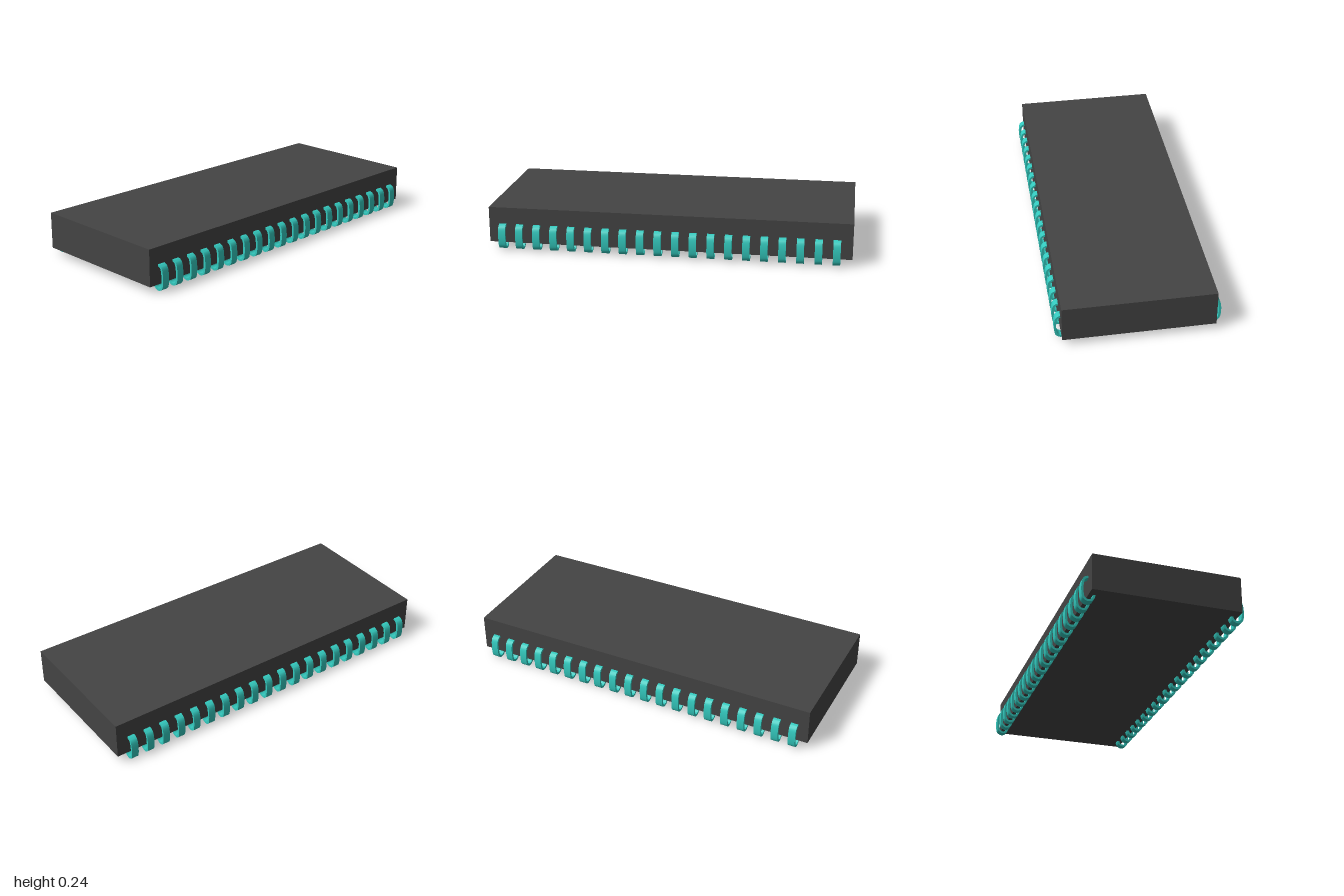
import * as THREE from 'three';
import { toCreasedNormals } from 'three/addons/utils/BufferGeometryUtils.js';

const PINS = 20, PIN_WIDTH = 0.04, PIN_THICK = 0.012;

// Curled flat lead: a strip of constant thickness along a curve in the z-y plane.
function pinGeometry() {
  const path = new THREE.CatmullRomCurve3([
    [0.385, 0.142], [0.402, 0.142], [0.419, 0.131], [0.427, 0.1], [0.427, 0.05],
    [0.42, 0.024], [0.4, 0.012], [0.379, 0.018], [0.369, 0.034], [0.366, 0.052],
  ].map(([z, y]) => new THREE.Vector3(z, y, 0)));
  const outer = [], inner = [], steps = 32;
  for (let i = 0; i <= steps; i++) {
    const p = path.getPoint(i / steps), t = path.getTangent(i / steps);
    const n = new THREE.Vector2(-t.y, t.x).multiplyScalar(PIN_THICK / 2);
    outer.push(new THREE.Vector2(p.x + n.x, p.y + n.y));
    inner.unshift(new THREE.Vector2(p.x - n.x, p.y - n.y));
  }
  const strip = new THREE.ExtrudeGeometry(new THREE.Shape([...outer, ...inner]), {
    depth: PIN_WIDTH, bevelEnabled: false,
  });
  strip.translate(0, 0, -PIN_WIDTH / 2).rotateY(-Math.PI / 2);
  return toCreasedNormals(strip, 0.7);
}

export function createModel() {
  const model = new THREE.Group();
  model.name = 'chipPackage';

  // Rectangular package
  const body = new THREE.Mesh(
    new THREE.BoxGeometry(2, 0.2, 0.8),
    new THREE.MeshStandardMaterial({ color: 0x444444 })
  );
  body.name = 'body';
  body.position.y = 0.141;
  model.add(body);

  // Two rows of curled pins, the back row turned round
  const geometry = pinGeometry();
  const material = new THREE.MeshStandardMaterial({ color: 0x33c9be });
  for (const side of ['front', 'back']) {
    const row = new THREE.Group();
    row.name = side + 'Pins';
    for (let i = 0; i < PINS; i++) {
      const pin = new THREE.Mesh(geometry, material);
      pin.name = side + 'Pin' + (i + 1);
      pin.position.x = -0.923 + i * 0.0968;
      if (side === 'back') {
        pin.rotation.y = Math.PI;
        pin.position.y = -0.004;
        pin.position.z = -0.004;
      }
      row.add(pin);
    }
    model.add(row);
  }
  return model;
}
